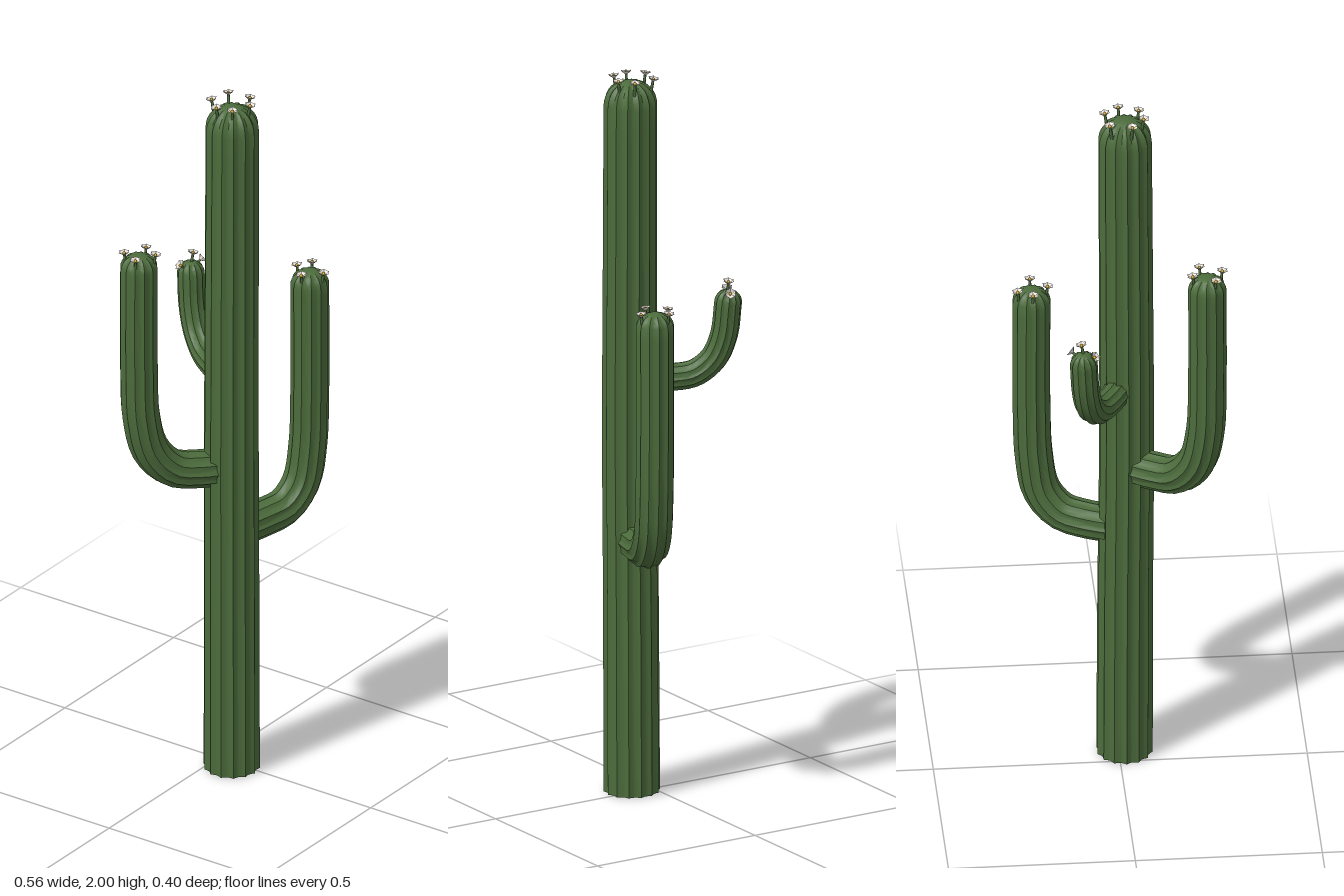
import * as THREE from 'three';
import { toCreasedNormals } from 'three/addons/utils/BufferGeometryUtils.js';

const skin = new THREE.MeshStandardMaterial({ color: 0x4c6c3c });
skin.name = 'cactus green';
const white = new THREE.MeshStandardMaterial({ color: 0xe9e3da, side: THREE.DoubleSide });
white.name = 'petal white';
const yellow = new THREE.MeshStandardMaterial({ color: 0xd8ae2c });
yellow.name = 'pollen yellow';

const UP = new THREE.Vector3(0, 1, 0);

// Ribbed column swept along a path, with a flat start and a domed tip
function ribbedColumn(name, points, r0, r1, ribs, domeHeight, steps) {
  const curve = new THREE.CatmullRomCurve3(points.map(p => new THREE.Vector3(...p)), false, 'centripetal');
  const frames = curve.computeFrenetFrames(steps, false);
  const perRib = 4, n = ribs * perRib, depth = 0.1;
  const pos = [], index = [];

  const addRing = (c, i, r, ribDepth) => {
    for (let j = 0; j < n; j++) {
      const a = (j / n) * Math.PI * 2;
      const k = r * (1 - ribDepth * Math.abs(Math.sin((a * ribs) / 2)));
      const p = c.clone()
        .addScaledVector(frames.normals[i], Math.cos(a) * k)
        .addScaledVector(frames.binormals[i], Math.sin(a) * k);
      pos.push(p.x, p.y, p.z);
    }
  };

  let rings = 0;
  for (let i = 0; i <= steps; i++, rings++) {
    addRing(curve.getPointAt(i / steps), i, THREE.MathUtils.lerp(r0, r1, i / steps), depth);
  }
  const end = curve.getPointAt(1), dir = frames.tangents[steps];
  const domeSteps = 8;
  for (let i = 1; i < domeSteps; i++, rings++) {
    const a = (i / domeSteps) * Math.PI / 2;
    const c = end.clone().addScaledVector(dir, domeHeight * Math.sin(a));
    addRing(c, steps, r1 * Math.pow(Math.cos(a), 0.85), depth * (1 + 0.6 * Math.sin(a)));
  }
  const tip = end.clone().addScaledVector(dir, domeHeight), base = curve.getPointAt(0);
  pos.push(tip.x, tip.y, tip.z, base.x, base.y, base.z);

  const tipId = rings * n, last = (rings - 1) * n;
  for (let j = 0; j < n; j++) {
    const k = (j + 1) % n;
    for (let i = 0; i < rings - 1; i++) {
      const a = i * n + j, b = i * n + k;
      index.push(a, b, a + n, b, b + n, a + n);
    }
    index.push(last + j, last + k, tipId, k, j, tipId + 1);
  }
  const geo = new THREE.BufferGeometry();
  geo.setAttribute('position', new THREE.Float32BufferAttribute(pos, 3));
  geo.setIndex(index);
  const mesh = new THREE.Mesh(toCreasedNormals(geo, 0.5), skin);
  mesh.name = name;
  return mesh;
}

// Shallow six-pointed funnel for the petals
function petalGeometry() {
  const geo = new THREE.CylinderGeometry(0.016, 0.003, 0.01, 12, 1, true);
  const p = geo.attributes.position;
  for (let i = 0; i < p.count; i++) {
    const j = Math.round(((Math.atan2(p.getX(i), p.getZ(i)) + Math.PI * 2) * 6) / Math.PI);
    if (p.getY(i) > 0 && j % 2) {
      p.setXYZ(i, p.getX(i) * 0.78, p.getY(i) - 0.001, p.getZ(i) * 0.78);
    }
  }
  return toCreasedNormals(geo, 0.3);
}
const petals = petalGeometry();
const stalk = new THREE.CylinderGeometry(0.0035, 0.005, 0.04, 8);
const pollen = new THREE.SphereGeometry(0.0045, 10, 6);

// Flower whose open face is centred on the given point
function flower(x, y, z, dir) {
  const g = new THREE.Group();
  g.name = 'flower';
  [['petals', petals, white, -0.005], ['stalk', stalk, skin, -0.028], ['flowerCentre', pollen, yellow, -0.005]]
    .forEach(([name, geo, mat, h]) => {
      const m = new THREE.Mesh(geo, mat);
      m.name = name;
      m.position.y = h;
      g.add(m);
    });
  g.position.set(x, y, z);
  g.quaternion.setFromUnitVectors(UP, dir.normalize());
  return g;
}

export function createModel() {
  const model = new THREE.Group();
  model.name = 'cactus';

  // Trunk and three upturned arms
  model.add(
    ribbedColumn('trunk', [[-0.016, 0, 0.057], [-0.018, 0.5, 0.058], [-0.022, 1, 0.06], [-0.02, 1.5, 0.06], [-0.018, 1.915, 0.06]],
      0.076, 0.072, 14, 0.068, 24),
    ribbedColumn('rightArm', [[-0.04, 0.905, 0.04], [-0.09, 0.907, 0.004], [-0.15, 0.922, -0.042], [-0.198, 0.985, -0.078],
      [-0.22, 1.09, -0.094], [-0.225, 1.25, -0.098], [-0.225, 1.535, -0.098]], 0.052, 0.051, 12, 0.042, 30),
    ribbedColumn('leftArm', [[0.02, 0.708, 0.068], [0.08, 0.712, 0.086], [0.15, 0.727, 0.112], [0.2, 0.785, 0.13],
      [0.22, 0.89, 0.138], [0.226, 1.05, 0.14], [0.226, 1.37, 0.14]], 0.052, 0.052, 12, 0.042, 30),
    ribbedColumn('backArm', [[0.005, 1.152, 0.02], [0.035, 1.152, -0.035], [0.067, 1.163, -0.09], [0.092, 1.205, -0.134],
      [0.105, 1.27, -0.158], [0.111, 1.36, -0.167]], 0.038, 0.037, 12, 0.034, 24),
  );

  // Flower crowns: axis x, axis z, height, then x/z of each flower
  const crowns = [
    [-0.018, 0.06, 1.995, [[-0.033, 0.002], [0.027, 0.015], [0.036, 0.08], [-0.003, 0.108], [-0.057, 0.088], [-0.067, 0.042]]],
    [-0.225, -0.098, 1.584, [[-0.246, -0.132], [-0.185, -0.103], [-0.207, -0.056], [-0.267, -0.08]]],
    [0.226, 0.14, 1.418, [[0.225, 0.098], [0.265, 0.12], [0.227, 0.185], [0.182, 0.143]]],
  ];
  for (const [cx, cz, y, spots] of crowns) {
    for (const [x, z] of spots) {
      model.add(flower(x, y, z, new THREE.Vector3((x - cx) * 3, 1, (z - cz) * 3)));
    }
  }

  // Splayed flowers on the small back arm
  model.add(
    flower(0.118, 1.422, -0.164, new THREE.Vector3(0.2, 1, 0.05)),
    flower(0.146, 1.395, -0.152, new THREE.Vector3(1, 0.7, 0.5)),
    flower(0.08, 1.392, -0.183, new THREE.Vector3(-0.8, 0.9, -0.5)),
  );
  return model;
}
